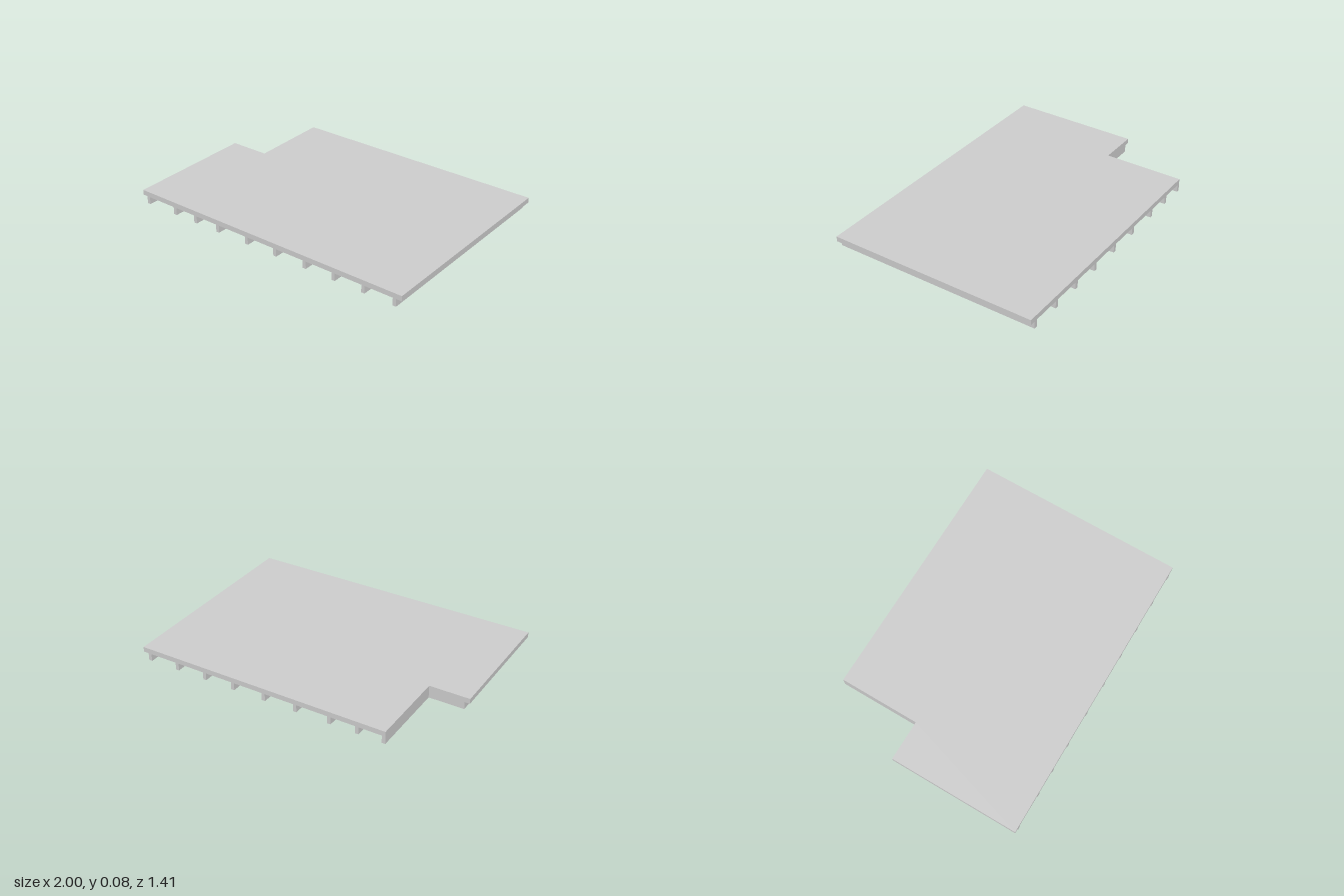
import * as THREE from 'three';

export function createModel() {
  const group = new THREE.Group();
  const material = new THREE.MeshStandardMaterial({ color: 0xcccccc, flatShading: true });

  const halfDepth = 0.703, notchX = -0.732, notchZ = -0.167;
  const joistHeight = 0.05, joistWidth = 0.023, deckTop = 0.084;

  // Box given by its minimum and maximum corners
  function addBox(name, x0, x1, y0, y1, z0, z1) {
    const mesh = new THREE.Mesh(new THREE.BoxGeometry(x1 - x0, y1 - y0, z1 - z0), material);
    mesh.position.set((x0 + x1) / 2, (y0 + y1) / 2, (z0 + z1) / 2);
    mesh.name = name;
    group.add(mesh);
  }

  // Deck slab with a notched back corner (shape y becomes -z)
  const outline = new THREE.Shape([
    [-1, -halfDepth], [1, -halfDepth], [1, halfDepth],
    [notchX, halfDepth], [notchX, -notchZ], [-1, -notchZ],
  ].map(([x, y]) => new THREE.Vector2(x, y)));
  const slab = new THREE.ExtrudeGeometry(outline, { depth: deckTop - joistHeight, bevelEnabled: false });
  slab.rotateX(-Math.PI / 2);
  const deck = new THREE.Mesh(slab, material);
  deck.position.y = joistHeight;
  deck.name = 'deckSlab';
  group.add(deck);

  // Joists running front to back; the one beside the notch is shorter
  const joistX = [-0.955, notchX + joistWidth / 2, -0.546, -0.36, -0.126, 0.096, 0.319, 0.529, 0.739, 0.952];
  joistX.forEach((x, i) => {
    const back = x < notchX ? notchZ : -halfDepth;
    addBox('joist' + (i + 1), x - joistWidth / 2, x + joistWidth / 2, 0, joistHeight, back, halfDepth);
  });

  // Trimmer closing the bay along the notch
  addBox('notchTrimmer', joistX[0] + joistWidth / 2, notchX, 0, joistHeight, notchZ, notchZ + joistWidth);

  return group;
}
